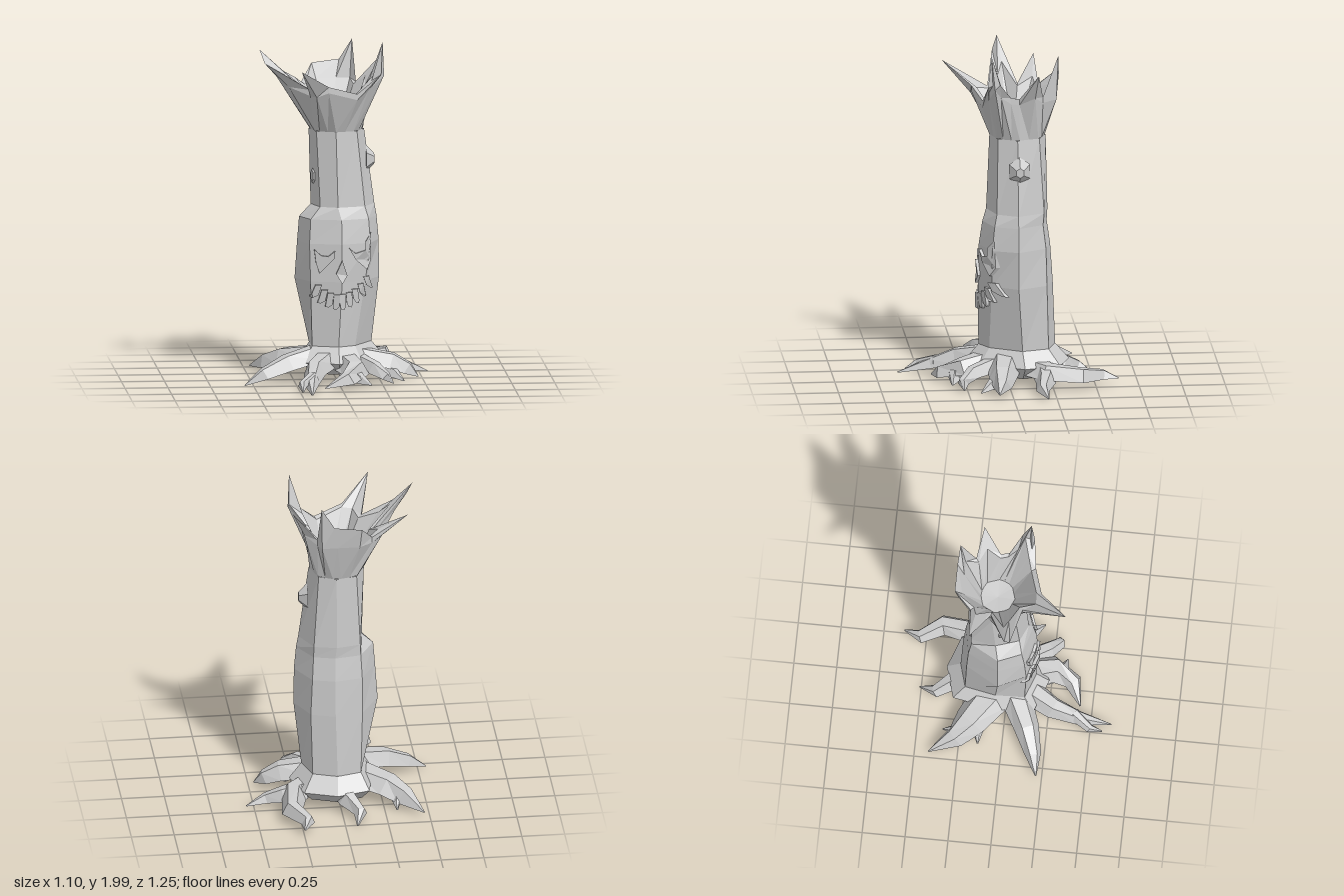
import * as THREE from 'three';

const material = new THREE.MeshStandardMaterial({ color: 0xcccccc, flatShading: true, side: THREE.DoubleSide });
const V = (x, y, z) => new THREE.Vector3(x, y, z);

function addMesh(parent, name, geometry) {
  const mesh = new THREE.Mesh(geometry, material);
  mesh.name = name;
  parent.add(mesh);
  return mesh;
}

// Skin between closed rows of points, bottom to top, counterclockwise
function loft(rows) {
  const pos = [];
  for (let r = 0; r < rows.length - 1; r++) {
    const a = rows[r], b = rows[r + 1], n = a.length;
    for (let i = 0; i < n; i++) {
      const j = (i + 1) % n;
      for (const p of [a[i], a[j], b[j], a[i], b[j], b[i]]) pos.push(p.x, p.y, p.z);
    }
  }
  const g = new THREE.BufferGeometry();
  g.setAttribute('position', new THREE.Float32BufferAttribute(pos, 3));
  g.computeVertexNormals();
  return g;
}

// Root through plan points [x, z]: it sinks from startY to tipY and tapers to a point
function root(width, startY, tipY, plan) {
  const last = plan.length - 1;
  const pts = plan.map(([x, z], i) => V(x, tipY + (startY - tipY) * (1 - (i / last) ** 1.15), z));
  const rows = pts.map((p, i) => {
    const dir = pts[Math.min(i + 1, last)].clone().sub(pts[Math.max(i - 1, 0)]).normalize();
    const side = V(0, 1, 0).cross(dir).normalize();
    const up = dir.clone().cross(side);
    const w = width * (1 - i / last) ** 0.65 + 0.004, h = Math.min(w * 0.6, 0.04);
    return [[1, -1], [0.45, 1], [-0.45, 1], [-1, -1]].map(([u, v]) => {
      const q = p.clone().addScaledVector(side, u * w).addScaledVector(up, v * h);
      q.y = Math.max(q.y, 0);
      return q;
    });
  });
  return loft([rows[0].map(() => pts[0]), ...rows]);
}

// Trunk rings: height and eight [x, z] corners, starting at the front
const CHEEKS = [[.02, .165], [.19, .1], [.25, -.05], [.16, -.215], [.03, -.25], [-.13, -.22], [-.225, -.04], [-.165, .11]];
const RINGS = [
  [0.22, [[0, .165], [.1, .11], [.21, -.075], [.16, -.23], [.02, -.28], [-.12, -.24], [-.155, -.06], [-.15, .11]]],
  [0.6, [[.02, .17], [.16, .1], [.252, -.05], [.17, -.22], [.03, -.265], [-.13, -.23], [-.24, -.04], [-.16, .12]]],
  [0.82, CHEEKS],
  [0.96, CHEEKS.map(([x, z]) => [x * 0.95, (z + 0.05) * 0.9 - 0.05])],
  [1.03, [[0, .12], [.16, .07], [.225, -.05], [.15, -.205], [.02, -.235], [-.12, -.205], [-.145, -.06], [-.1, .075]]],
  [1.47, [[-.01, .1], [.115, .06], [.165, -.05], [.12, -.18], [.02, -.225], [-.1, -.195], [-.155, -.08], [-.12, .05]]],
].map(([y, corners]) => corners.map(([x, z]) => V(x, y, z)));

// Depth of the trunk's front surface at x, y
function frontZ(x, y) {
  let r = 0;
  while (r < RINGS.length - 2 && y > RINGS[r + 1][0].y) r++;
  const a = RINGS[r], b = RINGS[r + 1];
  const t = (y - a[0].y) / (b[0].y - a[0].y);
  const f = [6, 7, 0, 1, 2].map(i => a[i].clone().lerp(b[i], t));
  let k = 0;
  while (k < 3 && x > f[k + 1].x) k++;
  return f[k].z + (f[k + 1].z - f[k].z) * (x - f[k].x) / (f[k + 1].x - f[k].x);
}

// Thin carved plate wrapped onto the front of the trunk
function plate(outline) {
  const shape = new THREE.Shape(outline.map(p => new THREE.Vector2(p[0], p[1])));
  const g = new THREE.ExtrudeGeometry(shape, { depth: 0.026, bevelEnabled: false });
  const p = g.attributes.position;
  for (let i = 0; i < p.count; i++) p.setZ(i, p.getZ(i) - 0.008 + frontZ(p.getX(i), p.getY(i)));
  g.computeVertexNormals();
  return g;
}

// Rim of the broken top: [x, y, z] and, for a spike, the [x, y, z] of its base
const RIM = [
  [[-.06, 1.75, .2]], [[.11, 1.7, .15]],
  [[.25, 1.81, .13], [.18, 1.72, .12]],
  [[.26, 2, .11], [.27, 1.8, .09]],
  [[.265, 1.83, .06], [.21, 1.74, .05]],
  [[.18, 1.73, -.01]], [[.17, 1.72, -.06]],
  [[.27, 1.88, -.165], [.2, 1.73, -.15]],
  [[.13, 1.72, -.2]],
  [[.115, 1.96, -.29], [.11, 1.7, -.28]],
  [[.04, 1.84, -.3], [.02, 1.7, -.28]], [[-.12, 1.82, -.3], [-.11, 1.7, -.28]],
  [[-.19, 1.72, -.2]],
  [[-.4, 1.85, -.19], [-.25, 1.72, -.18]],
  [[-.21, 1.72, -.08]],
  [[-.45, 1.95, .02], [-.35, 1.79, .01]],
  [[-.42, 1.87, .05], [-.28, 1.73, .04]],
  [[-.16, 1.72, .1]],
  [[-.23, 1.865, .36], [-.13, 1.69, .2]],
];

// Main roots: half width, start and tip height, then plan points outward from the trunk
const MAIN_ROOTS = [
  [.09, .18, .01, [[-.3, .14], [-.44, .19], [-.55, .215]]],
  [.08, .16, .01, [[-.15, .28], [-.18, .43], [-.19, .62]]],
  [.1, .15, .02, [[.09, .27], [.03, .38], [-.1, .43]]],
  [.1, .16, .03, [[.32, .05], [.41, .06], [.47, .08]]],
  [.09, .13, .06, [[.27, -.22], [.3, -.41], [.22, -.54], [.25, -.63]]],
  [.07, .14, .01, [[-.04, -.33], [-.1, -.42], [-.07, -.51]]],
  [.12, .16, .03, [[-.29, -.2], [-.38, -.28], [-.47, -.42]]],
];

// Side roots: half width, start height, then plan points
const SIDE_ROOTS = [
  [.035, .09, [[-.17, .4], [-.24, .5], [-.24, .57]]],
  [.07, .1, [[.07, .22], [.1, .32], [.18, .33]]],
  [.06, .14, [[.1, .05], [.21, .22], [.27, .28], [.31, .27]]],
  [.05, .09, [[.26, .05], [.33, .12], [.38, .18]]],
  [.07, .12, [[.2, -.2], [.33, -.2], [.43, -.175], [.545, -.2]]],
  [.05, .11, [[-.27, -.22], [-.33, -.27], [-.32, -.35]]],
  [.06, .13, [[-.16, -.12], [-.31, -.15], [-.39, -.14]]],
];

export function createModel() {
  const tree = new THREE.Group();
  tree.name = 'hollowTreeStump';

  // Trunk with the flared foot below it
  const foot = RINGS[0];
  const spread = (s, y) => foot.map(p => V(p.x * s, y, (p.z + 0.05) * s - 0.05));
  addMesh(tree, 'trunk', loft(RINGS));
  addMesh(tree, 'foot', loft([foot.map(() => V(0, 0.05, -0.05)), spread(1.05, 0.06), spread(1.35, 0.13), foot]));

  // Splintered crown: outside, rim, then the funnel inside
  const neck = RINGS[RINGS.length - 1];
  const lower = RIM.map((_, i) => {
    const t = i * 8 / RIM.length, k = Math.floor(t);
    return neck[k].clone().lerp(neck[(k + 1) % 8], t - k);
  });
  const keel = RIM.map(([t, base]) => base ? V(...base) : V(t[0], t[1] - 0.035, t[2]));
  const rim = RIM.map(([t]) => V(...t));
  const inner = RIM.map(([t, base]) => {
    const p = base || t, s = base ? 0.9 : 0.88;
    return V(p[0] * s, p[1] + (base ? 0.035 : -0.01), (p[2] + 0.06) * s - 0.06);
  });
  const floor = lower.map(p => V(p.x * 0.65, 1.47, (p.z + 0.06) * 0.62 - 0.06));
  addMesh(tree, 'crown', loft([lower, keel, rim, inner, floor, floor.map(() => V(0, 1.46, -0.06))]));

  // Roots; the main ones start inside the foot
  const roots = new THREE.Group();
  roots.name = 'roots';
  tree.add(roots);
  for (const [w, startY, tipY, plan] of MAIN_ROOTS) {
    const start = plan[0].map(c => c * 0.35);
    addMesh(roots, 'mainRoot', root(w, startY, tipY, [start, ...plan]));
  }
  for (const [w, startY, plan] of SIDE_ROOTS) addMesh(roots, 'sideRoot', root(w, startY, 0.02, plan));

  // Carved face
  const face = new THREE.Group();
  face.name = 'face';
  tree.add(face);
  addMesh(face, 'rightEye', plate([[-.14, .79], [-.1, .755], [-.06, .75], [-.02, .785], [-.025, .74], [-.11, .65], [-.13, .71]]));
  addMesh(face, 'leftEye', plate([[.06, .8], [.1, .765], [.16, .78], [.16, .83], [.195, .88], [.195, .72], [.17, .665], [.1, .73]]));
  addMesh(face, 'nose', plate([[.02, .73], [.05, .64], [.02, .59], [-.015, .65]]));
  const COUNT = 9;
  for (let i = 0; i < COUNT; i++) {
    const t = (i / (COUNT - 1)) * 2 - 1;
    const x = 0.025 + t * 0.16, y = 0.485 + 0.08 * t * t + 0.02 * t;
    const lean = t * 0.02, w = 0.018, h = 0.046 - 0.008 * Math.abs(t);
    addMesh(face, 'tooth', plate([
      [x - w - lean, y + h], [x + w - lean, y + h], [x + w, y - h * 0.6],
      [x + w * 0.3 + lean, y - h], [x - w * 0.7 + lean, y - h * 0.9], [x - w, y - h * 0.3],
    ]));
  }

  // Knots on both sides of the trunk
  const knot = (name, x, y, z, turn, tall) => {
    const g = new THREE.CylinderGeometry(0.025, 0.07, 0.05, 6);
    g.rotateX(Math.PI / 2);
    g.scale(1, tall, 1);
    const mesh = addMesh(tree, name, g);
    mesh.position.set(x, y, z);
    mesh.rotation.y = turn;
  };
  knot('leftKnot', 0.2, 1.29, -0.06, Math.PI / 2, 1.2);
  knot('rightKnot', -0.118, 1.2, -0.02, -Math.PI / 2 + 0.28, 1.45);

  return tree;
}
